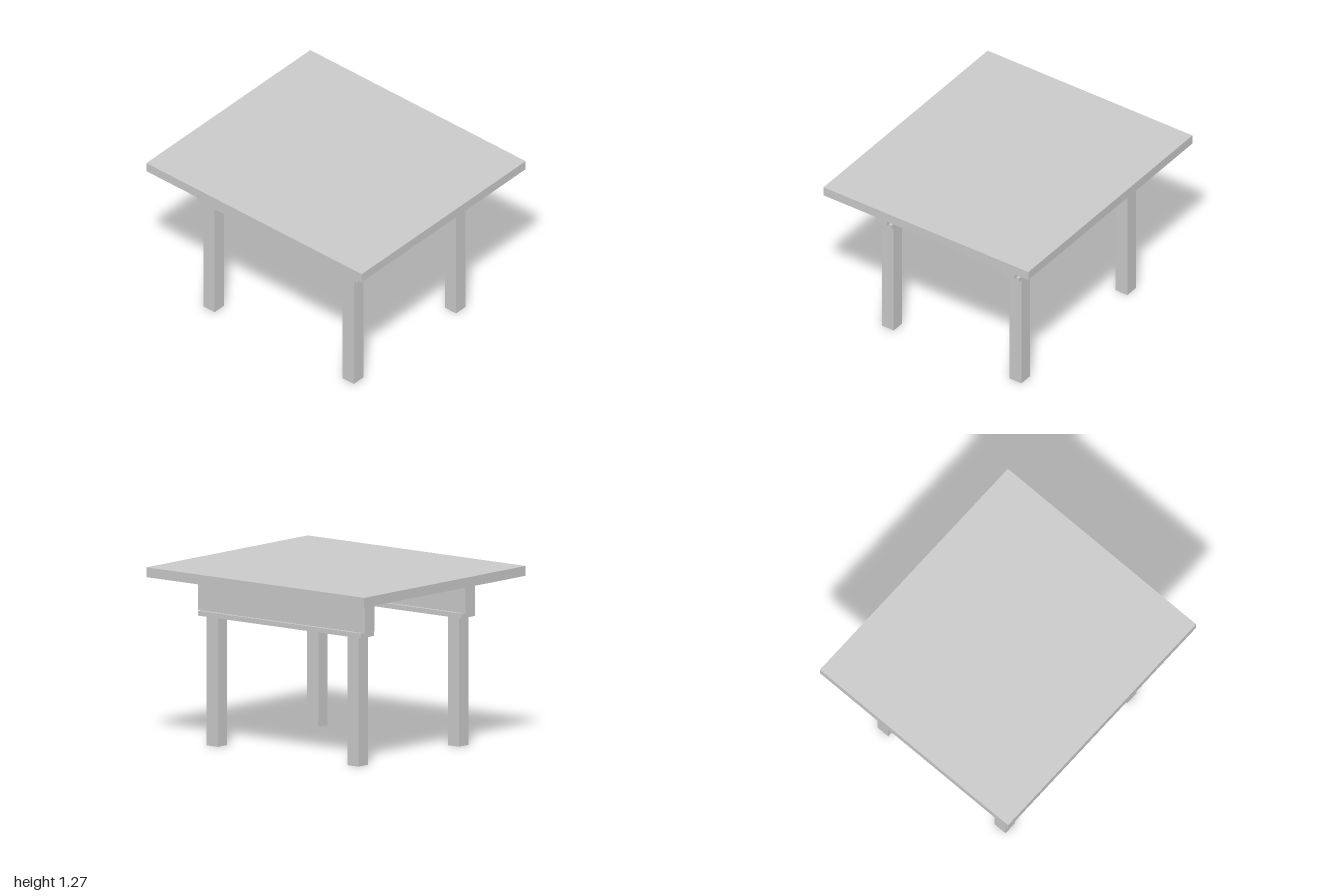
import * as THREE from 'three';

const material = new THREE.MeshStandardMaterial({ color: 0xcccccc, flatShading: true });

// Box given by its extents along each axis
function block(name, [x0, x1], [y0, y1], [z0, z1]) {
  const mesh = new THREE.Mesh(new THREE.BoxGeometry(x1 - x0, y1 - y0, z1 - z0), material);
  mesh.position.set((x0 + x1) / 2, (y0 + y1) / 2, (z0 + z1) / 2);
  mesh.name = name;
  return mesh;
}

export function createModel() {
  const table = new THREE.Group();
  table.name = 'table';

  // Top slab and the thinner panel beneath it
  table.add(block('tableTop', [-1, 1], [1.2, 1.27], [-0.88, 0.88]));
  table.add(block('underPanel', [-0.82, 0.815], [1.17, 1.2], [-0.72, 0.72]));

  // Front and back supports: apron, moulding rail and a pair of legs
  for (const [side, z] of [['front', 0.55], ['back', -0.547]]) {
    const support = new THREE.Group();
    support.name = side + 'Support';
    const depth = (half) => [z - half, z + half];
    support.add(
      block(side + 'Apron', [-0.77, 0.765], [0.955, 1.17], depth(0.05)),
      block(side + 'Rail', [-0.75, 0.745], [0.92, 0.955], depth(0.073)),
      block(side + 'RightLeg', [-0.71, -0.607], [0, 0.92], depth(0.051)),
      block(side + 'LeftLeg', [0.582, 0.685], [0, 0.92], depth(0.051))
    );
    table.add(support);
  }
  return table;
}
